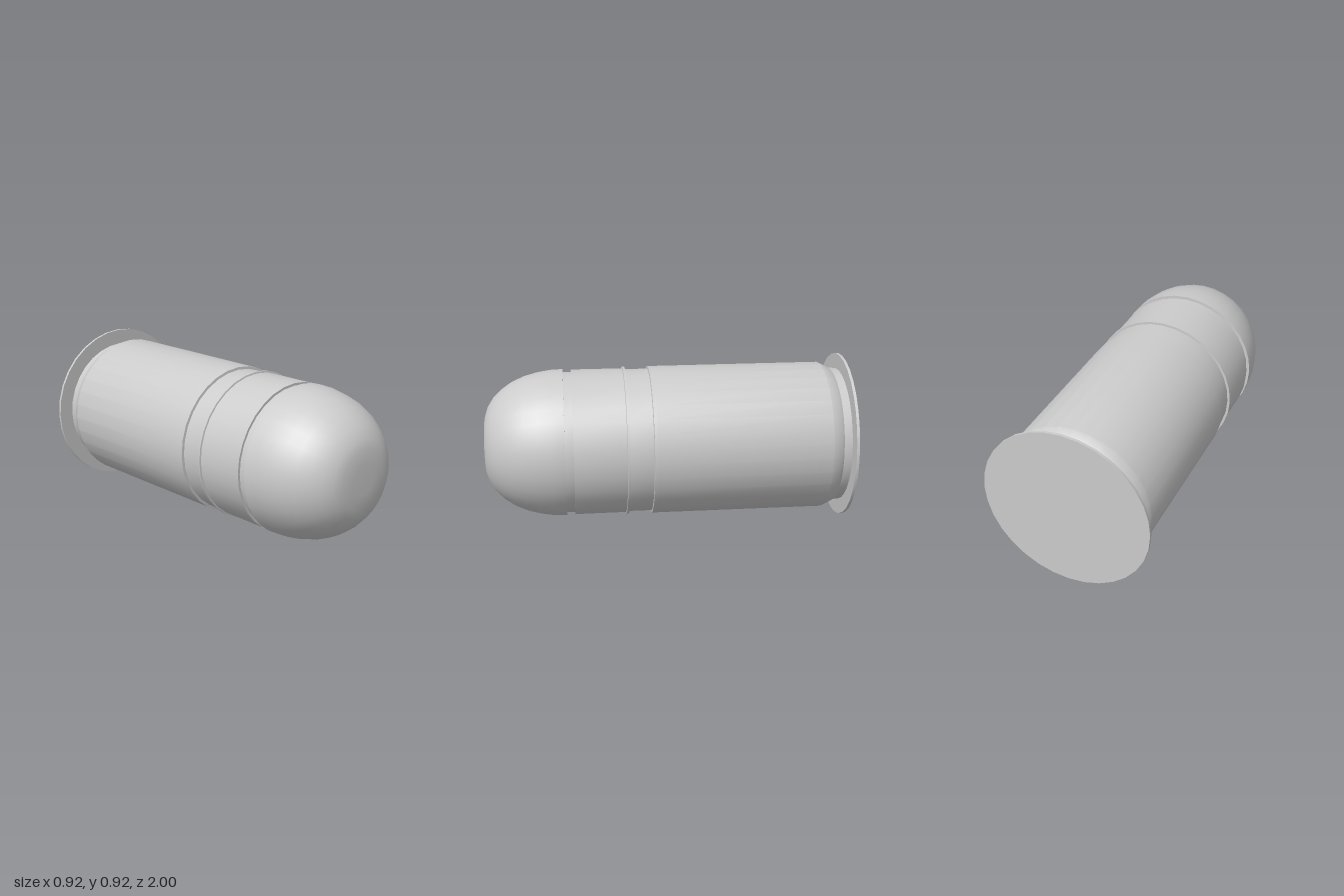
import * as THREE from 'three';
import { toCreasedNormals } from 'three/addons/utils/BufferGeometryUtils.js';

const SEGMENTS = 32;
const AXIS_HEIGHT = 0.46;

export function createModel() {
  const model = new THREE.Group();
  const material = new THREE.MeshStandardMaterial({ color: 0xcccccc });

  // Turns a profile of [radius, z] pairs, listed back to front, about the long axis
  function turned(name, profile, crease = 0.45) {
    const points = profile.map(([r, z]) => new THREE.Vector2(r, z));
    const lathe = new THREE.LatheGeometry(points, SEGMENTS).rotateX(Math.PI / 2);
    const mesh = new THREE.Mesh(toCreasedNormals(lathe, crease), material);
    mesh.name = name;
    mesh.position.y = AXIS_HEIGHT;
    model.add(mesh);
  }

  // Thin flange closing the back
  turned('rim', [[0, -1], [0.46, -1], [0.46, -0.985], [0, -0.985]]);

  // Straight casing with a narrowed neck above the rim and a bevelled mouth
  turned('casing', [
    [0.375, -0.985], [0.378, -0.94], [0.39, -0.925], [0.413, -0.875],
    [0.414, 0.07], [0.414, 0.088], [0.4, 0.09],
  ]);

  // Recessed collar between casing and band
  turned('collar', [[0.4, 0.088], [0.4, 0.222]]);

  // Raised driving band
  turned('band', [[0.4, 0.218], [0.414, 0.218], [0.414, 0.23], [0.405, 0.232]]);

  // Projectile body and the groove in front of it
  turned('projectileBody', [[0.405, 0.23], [0.406, 0.515], [0.393, 0.515]]);
  turned('groove', [[0.393, 0.513], [0.393, 0.562]]);

  // Rounded nose with a blunt tip
  turned('nose', [
    [0.39, 0.56], [0.41, 0.56], [0.407, 0.63], [0.396, 0.7], [0.376, 0.775],
    [0.345, 0.845], [0.305, 0.903], [0.26, 0.948], [0.21, 0.98], [0.16, 0.996],
    [0.08, 1], [0, 1],
  ], 0.6);

  return model;
}
